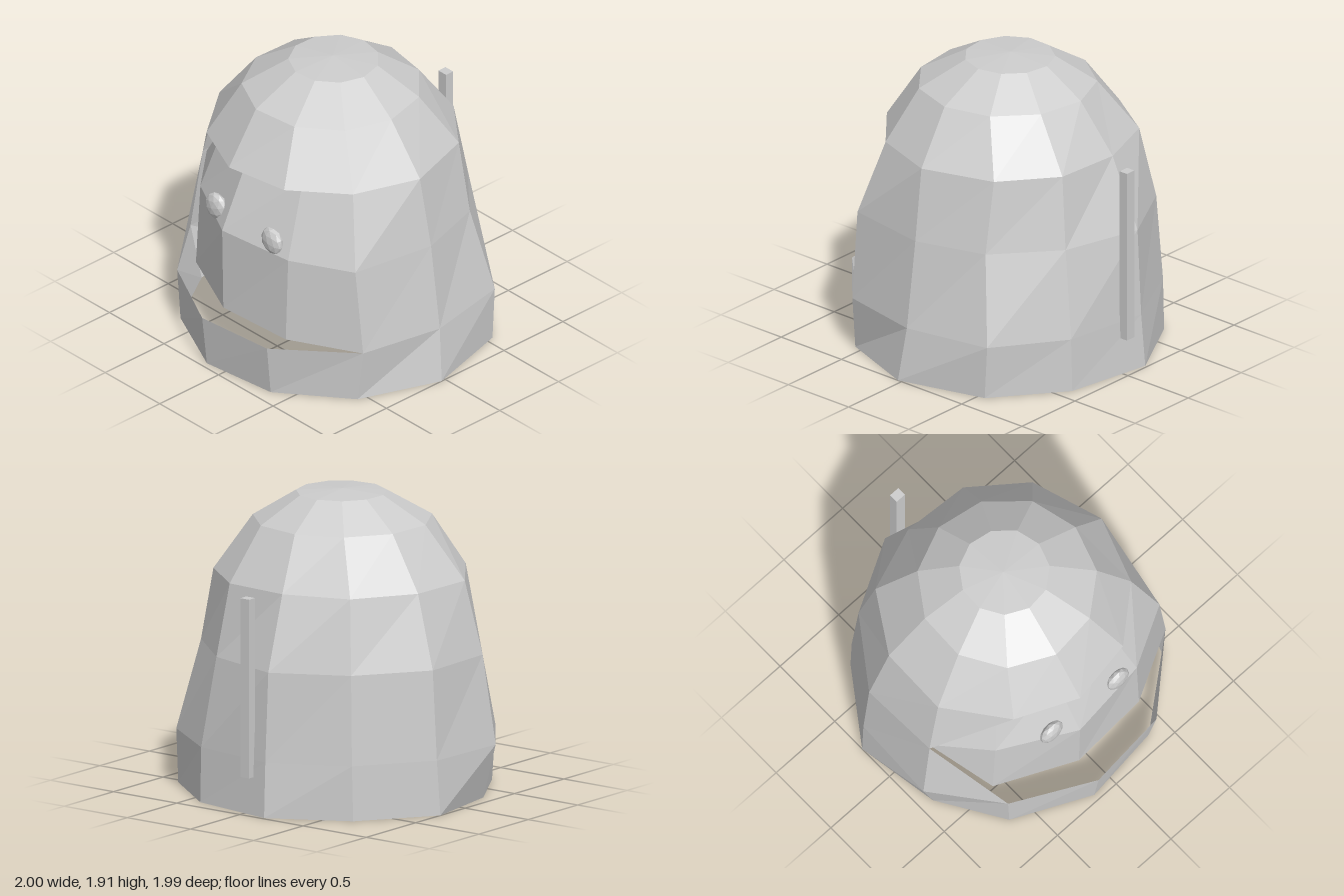
import * as THREE from 'three';

const SIDES = 11;
const gray = new THREE.MeshStandardMaterial({ color: 0xcccccc, side: THREE.DoubleSide });
gray.name = 'light gray';

// Flat-shaded mesh from a list of triangle corners
function facets(name, corners) {
  const geo = new THREE.BufferGeometry().setFromPoints(corners);
  geo.computeVertexNormals();
  const mesh = new THREE.Mesh(geo, gray);
  mesh.name = name;
  return mesh;
}

// Regular eleven-sided cross-section: height, radius, centre
function ring(y, r, cx, cz) {
  return Array.from({ length: SIDES }, (_, i) => {
    const a = THREE.MathUtils.degToRad(2) + (i * Math.PI * 2) / SIDES;
    return new THREE.Vector3(cx + r * Math.cos(a), y, cz + r * Math.sin(a));
  });
}

// Uneven cross-section from x, z pairs at one height
const outline = (y, pairs) => pairs.map(([x, z]) => new THREE.Vector3(x, y, z));

// Two triangles between neighbouring corners of two cross-sections
function quad(lo, up, i) {
  const j = (i + 1) % lo.length;
  return [lo[j], lo[i], up[i], lo[j], up[i], up[j]];
}

function band(lo, up, from = 0, to = SIDES) {
  const out = [];
  for (let i = from; i < to; i++) out.push(...quad(lo, up, i));
  return out;
}

export function createModel() {
  const group = new THREE.Group();

  // Cross-sections from the ground to the top
  const base = outline(0, [[1, 0.03], [0.8, 0.56], [0.37, 0.9], [-0.15, 0.96], [-0.65, 0.72],
    [-0.91, 0.3], [-1, -0.25], [-0.67, -0.71], [-0.18, -0.985], [0.4, -0.89], [0.84, -0.55]]);
  const rim = outline(0.35, [[0.95, 0], [0.84, 0.55], [0.39, 0.95], [-0.15, 1], [-0.67, 0.73],
    [-1, 0.31], [-0.98, -0.26], [-0.66, -0.71], [-0.17, -0.96], [0.4, -0.88], [0.84, -0.57]]);
  const mid = outline(0.92, [[0.87, 0], [0.78, 0.56], [0.39, 0.8], [-0.15, 0.87], [-0.63, 0.65],
    [-0.92, 0.28], [-0.94, -0.25], [-0.63, -0.68], [-0.17, -0.93], [0.35, -0.79], [0.73, -0.46]]);
  const brow = outline(1.385, [[0.79, 0.02], [0.64, 0.45], [0.31, 0.73], [-0.12, 0.8], [-0.52, 0.62],
    [-0.81, 0.24], [-0.8, -0.22], [-0.56, -0.6], [-0.14, -0.75], [0.3, -0.72], [0.64, -0.45]]);
  const crown = ring(1.72, 0.565, -0.015, 0.02);
  const peak = ring(1.89, 0.285, -0.02, 0);
  const apex = new THREE.Vector3(-0.03, 1.91, 0);

  // Full rings at the bottom and the dome on top
  group.add(facets('lowerBand', band(base, rim)));
  const dome = [...band(brow, crown), ...band(crown, peak)];
  for (let i = 0; i < SIDES; i++) dome.push(peak[(i + 1) % SIDES], peak[i], apex);
  group.add(facets('dome', dome));

  // Side and back walls, leaving the front open
  group.add(facets('sideWalls', [
    ...quad(rim, mid, 0), ...quad(mid, brow, 0),
    ...band(rim, mid, 5), ...band(mid, brow, 5),
  ]));

  // Triangular flaps at one side of the opening
  group.add(facets('openingFlaps', [
    mid[5], brow[4], brow[5],
    rim[5], rim[4], mid[5],
  ]));

  // Recessed face panel
  const v = (x, y, z) => new THREE.Vector3(x, y, z);
  const low = [rim[1], v(0.39, 0.35, 0.79), v(-0.15, 0.35, 0.82), v(-0.66, 0.35, 0.58)];
  const middle = [mid[1], v(0.39, 0.92, 0.77), v(-0.15, 0.92, 0.83), v(-0.63, 0.92, 0.57)];
  const high = [brow[1], v(0.31, 1.385, 0.57), v(-0.15, 1.385, 0.6), v(-0.52, 1.385, 0.46)];
  const end = v(-0.905, 0.92, 0.26);
  group.add(facets('facePanel', [
    ...band(low, middle, 0, 3), ...band(middle, high, 0, 3),
    end, low[3], middle[3],
    end, middle[3], high[3],
  ]));

  // Faceted eyes
  for (const [name, x, z, tilt] of [['rightEye', -0.305, 0.735, -0.3], ['leftEye', 0.235, 0.76, 0.4]]) {
    const geo = new THREE.IcosahedronGeometry(1, 1);
    geo.computeVertexNormals();
    const eye = new THREE.Mesh(geo, gray);
    eye.name = name;
    eye.scale.set(0.088, 0.095, 0.045);
    eye.rotation.z = tilt;
    eye.position.set(x, 0.99, z);
    group.add(eye);
  }

  // Upright rod on the back
  const rod = new THREE.Mesh(new THREE.BoxGeometry(0.07, 1.145, 0.06), gray);
  rod.name = 'backRod';
  rod.position.set(-0.033, 0.812, -0.963);
  group.add(rod);

  return group;
}
